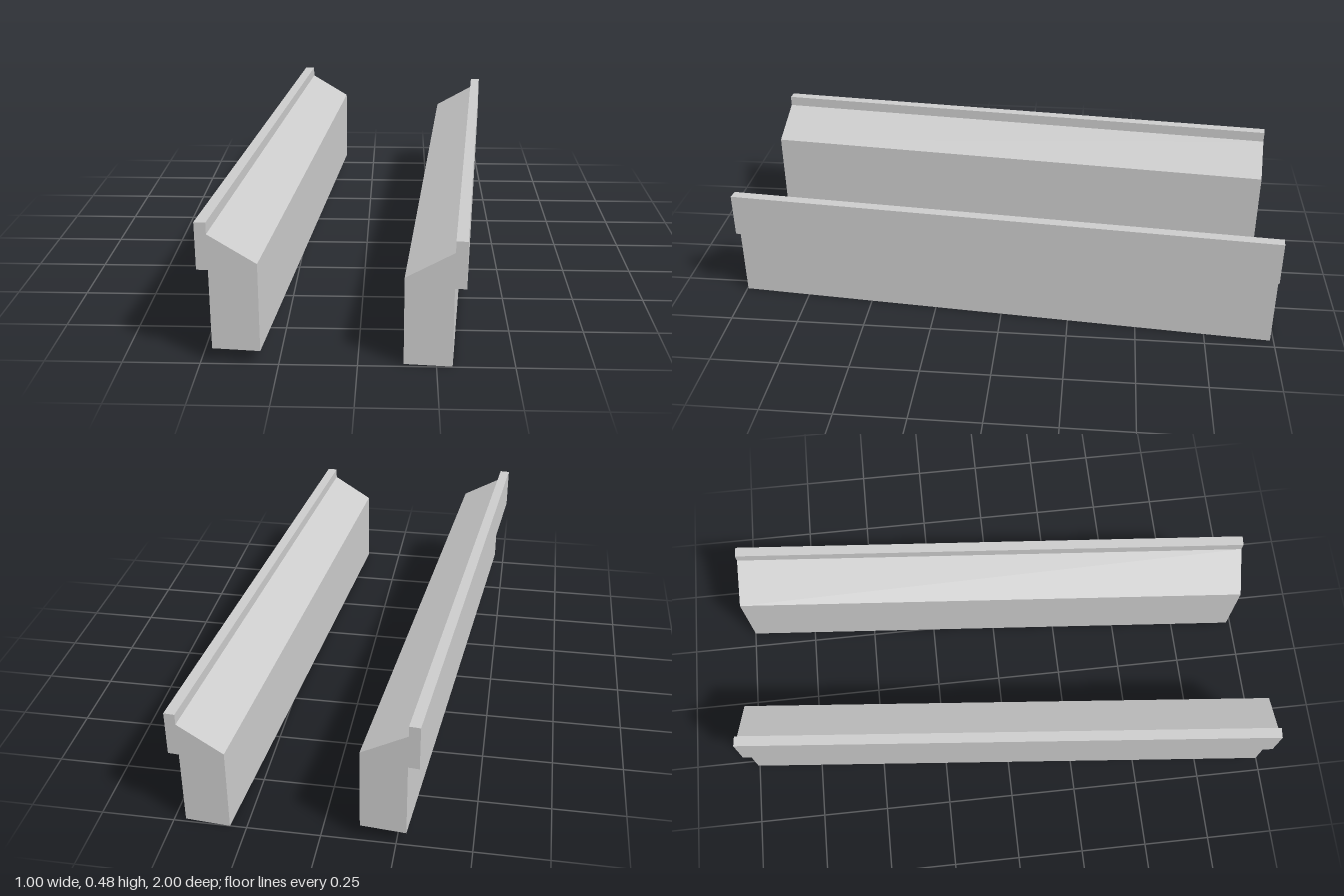
import * as THREE from 'three';

const LENGTH = 1.991;
// Rail cross-section: stem with a sloped shoulder and an overhanging lip on -x
const PROFILE = [
  [-0.059, 0], [0.0965, 0], [0.0965, 0.3], [-0.059, 0.391],
  [-0.059, 0.429], [-0.0965, 0.429], [-0.0965, 0.271], [-0.059, 0.271],
];

// side = 1 keeps the lip on -x, side = -1 mirrors it to +x
function makeRail(name, side, x, y, angle) {
  const shape = new THREE.Shape(PROFILE.map(([px, py]) => new THREE.Vector2(px * side, py)));
  const geometry = new THREE.ExtrudeGeometry(shape, { depth: LENGTH, bevelEnabled: false });
  geometry.translate(0, 0, -LENGTH / 2);
  const material = new THREE.MeshStandardMaterial({ color: 0xcccccc, flatShading: true });
  const rail = new THREE.Mesh(geometry, material);
  rail.name = name;
  rail.position.set(x, y, 0);
  rail.rotation.y = angle;
  return rail;
}

export function createModel() {
  const model = new THREE.Group();
  model.name = 'railPair';
  // Right rail sits slightly higher; both are turned a little about the vertical
  model.add(makeRail('rightRail', 1, -0.3135, 0.047, -0.09));
  model.add(makeRail('leftRail', -1, 0.3225, 0, -0.081));
  return model;
}
